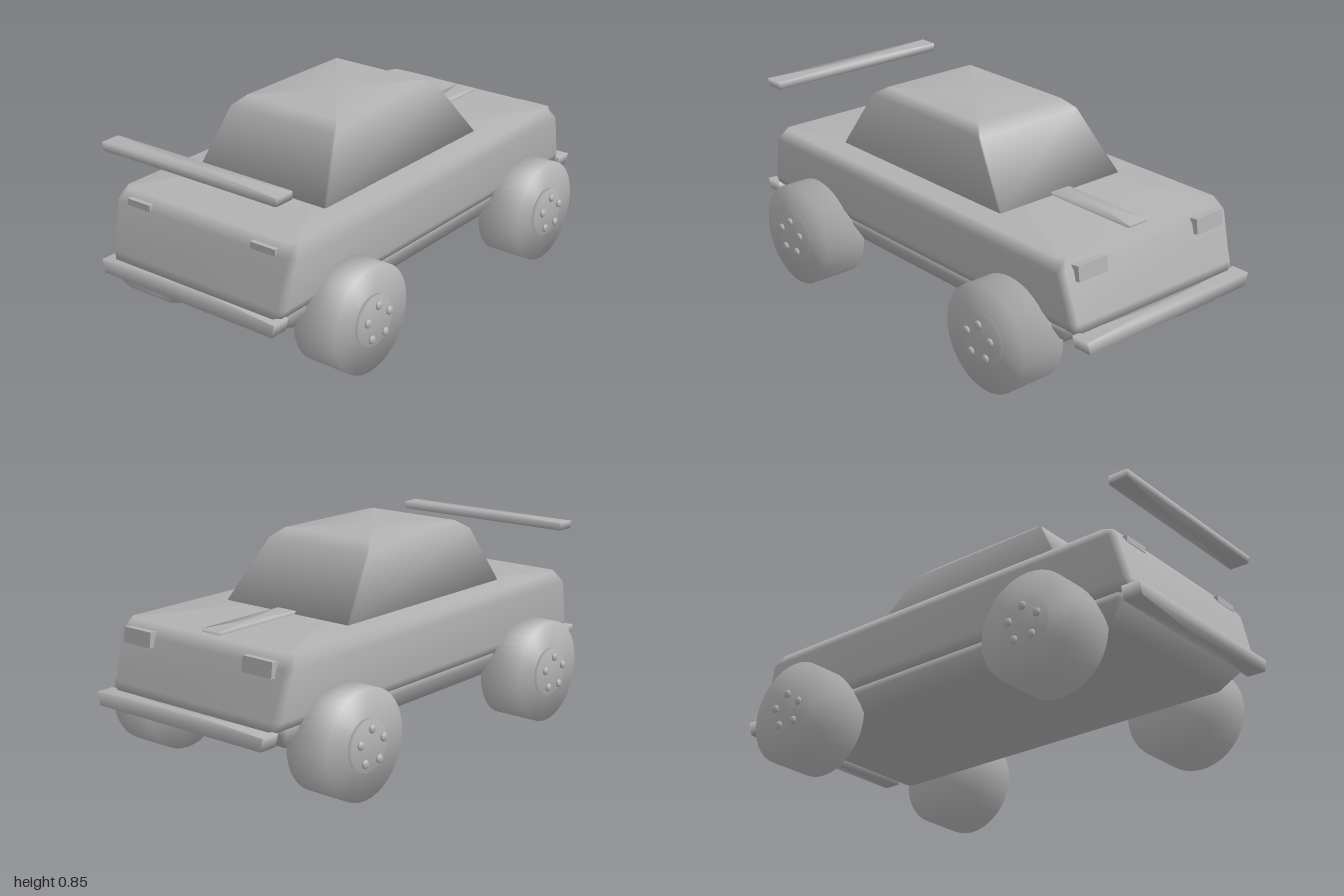
import * as THREE from 'three';

const grey = new THREE.MeshStandardMaterial({ color: 0xb2b2b2 });
grey.name = 'plain grey';

// Closed solid from horizontal rings [y, halfWidth, zFront, zBack], corners cut by c
function loft(rings, c) {
  const pos = [], idx = [], n = 8;
  for (const [y, w, f, b] of rings) {
    const outline = [[w - c, f], [w, f - c], [w, b + c], [w - c, b],
      [c - w, b], [-w, b + c], [-w, f - c], [c - w, f]];
    for (const [x, z] of outline) pos.push(x, y, z);
  }
  const last = (rings.length - 1) * n;
  for (let r = 0; r < last; r += n) {
    for (let i = 0; i < n; i++) {
      const j = (i + 1) % n;
      idx.push(r + i, r + j, r + n + j, r + i, r + n + j, r + n + i);
    }
  }
  // Caps fan out from a centre point
  for (const [y, , f, b] of [rings[0], rings[rings.length - 1]]) pos.push(0, y, (f + b) / 2);
  const bottom = last + n;
  for (let i = 0; i < n; i++) {
    const j = (i + 1) % n;
    idx.push(bottom, j, i, bottom + 1, last + i, last + j);
  }
  const g = new THREE.BufferGeometry();
  g.setAttribute('position', new THREE.Float32BufferAttribute(pos, 3));
  g.setIndex(idx);
  g.computeVertexNormals();
  return g;
}

function add(parent, name, geometry, x = 0, y = 0, z = 0) {
  const mesh = new THREE.Mesh(geometry, grey);
  mesh.name = name;
  mesh.position.set(x, y, z);
  parent.add(mesh);
  return mesh;
}

// Solid disc along x with softly shaded rims
function disc(radius, x0, x1) {
  const profile = [[0, x0], [radius, x0], [radius, x1], [0, x1]];
  const g = new THREE.LatheGeometry(profile.map(p => new THREE.Vector2(...p)), 40);
  return g.rotateZ(-Math.PI / 2);
}

function makeWheel() {
  const wheel = new THREE.Group();
  wheel.name = 'wheel';
  add(wheel, 'tyre', disc(0.213, -0.095, 0.095));
  add(wheel, 'hub', disc(0.1, 0.08, 0.112));
  const nut = new THREE.SphereGeometry(0.017, 12, 8).scale(0.53, 1, 1);
  for (let i = 0; i < 5; i++) {
    const a = i * Math.PI * 2 / 5;
    add(wheel, 'wheelNut', nut, 0.127, Math.cos(a) * 0.068, Math.sin(a) * 0.068);
  }
  return wheel;
}

export function createModel() {
  const car = new THREE.Group();
  car.name = 'car';

  // Shell
  add(car, 'chassis', loft([
    [0.21, 0.36, 0.84, -0.80], [0.285, 0.405, 0.91, -0.875], [0.32, 0.405, 0.91, -0.875]], 0.02));
  add(car, 'body', loft([
    [0.31, 0.41, 0.965, -0.935], [0.345, 0.425, 0.955, -0.925],
    [0.53, 0.44, 0.908, -0.872], [0.577, 0.415, 0.875, -0.84]], 0.025));
  add(car, 'cabin', loft([
    [0.57, 0.315, 0.577, -0.415], [0.81, 0.257, 0.445, -0.225], [0.845, 0.22, 0.39, -0.17]], 0.006));

  // Trunk strip
  add(car, 'trunkStrip', loft([
    [0.56, 0.047, -0.40, -0.815], [0.588, 0.047, -0.40, -0.815]], 0.002));

  // Bumpers and floating front wing, slightly narrower underneath
  add(car, 'frontBumper', loft([[0.264, 0.415, 1, 0.92], [0.314, 0.428, 1, 0.92]], 0.004));
  add(car, 'rearBumper', loft([[0.264, 0.415, -0.92, -1], [0.314, 0.428, -0.92, -1]], 0.004));
  add(car, 'wing', loft([[0.751, 0.417, 0.965, 0.878], [0.782, 0.422, 0.965, 0.878]], 0.004));

  for (const side of [1, -1]) {
    // Lights
    add(car, 'headlight', new THREE.BoxGeometry(0.115, 0.026, 0.05), side * 0.303, 0.541, 0.886);
    const tail = add(car, 'taillight', new THREE.BoxGeometry(0.142, 0.06, 0.034), side * 0.306, 0.524, -0.88);
    tail.rotation.x = 0.12;

    // Wheels
    for (const z of [0.604, -0.597]) {
      const wheel = makeWheel();
      wheel.position.set(side * 0.457, 0.213, z);
      if (side < 0) wheel.rotation.y = Math.PI;
      car.add(wheel);
    }
  }
  return car;
}
